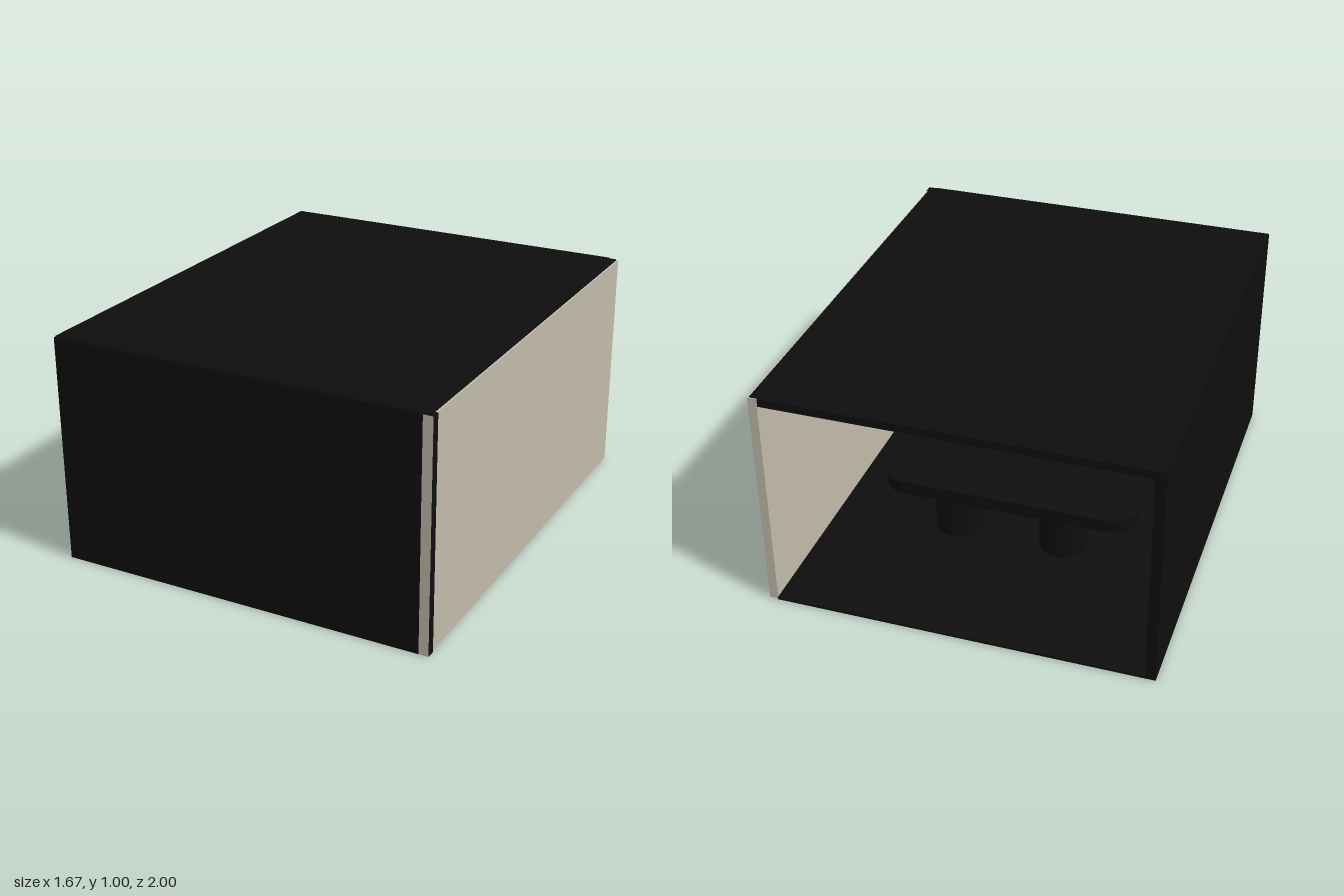
import * as THREE from 'three';

export function createModel() {
  const room = new THREE.Group();
  room.name = 'room';
  const black = new THREE.MeshStandardMaterial({ name: 'black', color: 0x0e0e0e });
  const beige = new THREE.MeshStandardMaterial({ name: 'beige', color: 0xc2bbac });

  const add = (name, geometry, material, parent = room) => {
    const mesh = new THREE.Mesh(geometry, material);
    mesh.name = name;
    parent.add(mesh);
    return mesh;
  };
  // Box given by its extents along each axis
  const box = (name, [x0, x1], [y0, y1], [z0, z1], material) => {
    const mesh = add(name, new THREE.BoxGeometry(x1 - x0, y1 - y0, z1 - z0), material);
    mesh.position.set((x0 + x1) / 2, (y0 + y1) / 2, (z0 + z1) / 2);
    return mesh;
  };

  // Shell, open at the back
  box('floor', [-0.835, 0.795], [0, 0.01], [-1, 0.96], black);
  box('roof', [-0.835, 0.825], [0.965, 1], [-0.99, 0.99], black);
  box('roofBackEdge', [-0.835, 0.79], [0.965, 1], [-1, -0.99], black);
  box('sideWall', [-0.835, -0.79], [0.01, 0.965], [-1, 0.96], black);
  box('frontWall', [-0.835, 0.795], [0, 0.997], [0.96, 1], black);
  box('paintedWall', [0.795, 0.833], [0, 0.995], [-0.995, 0.96], beige);

  // Front corner: painted front face, dark end face
  box('cornerPost', [0.795, 0.837], [0, 0.995], [0.96, 1],
    [black, black, black, black, beige, black]);

  // Low table with rounded ends on two round pedestals
  const table = new THREE.Group();
  table.name = 'table';
  table.position.z = -0.28;
  room.add(table);

  const r = 0.11, half = 0.46, thickness = 0.06;
  const outline = new THREE.Shape();
  outline.absarc(half, 0, r, -Math.PI / 2, Math.PI / 2);
  outline.absarc(-half, 0, r, Math.PI / 2, Math.PI * 1.5);
  const topGeometry = new THREE.ExtrudeGeometry(outline, {
    depth: thickness, bevelEnabled: false, curveSegments: 20,
  });
  topGeometry.rotateX(-Math.PI / 2);
  add('tableTop', topGeometry, black, table).position.y = 0.2;
  for (const side of [-1, 1]) {
    const pedestal = add('tablePedestal', new THREE.CylinderGeometry(0.105, 0.105, 0.19, 28), black, table);
    pedestal.position.set(side * 0.24, 0.105, 0);
  }

  // Small round foot set through the floor
  const foot = add('floorFoot', new THREE.CylinderGeometry(0.04, 0.04, 0.06, 24), beige);
  foot.position.set(-0.65, 0.029, 0.57);

  return room;
}
